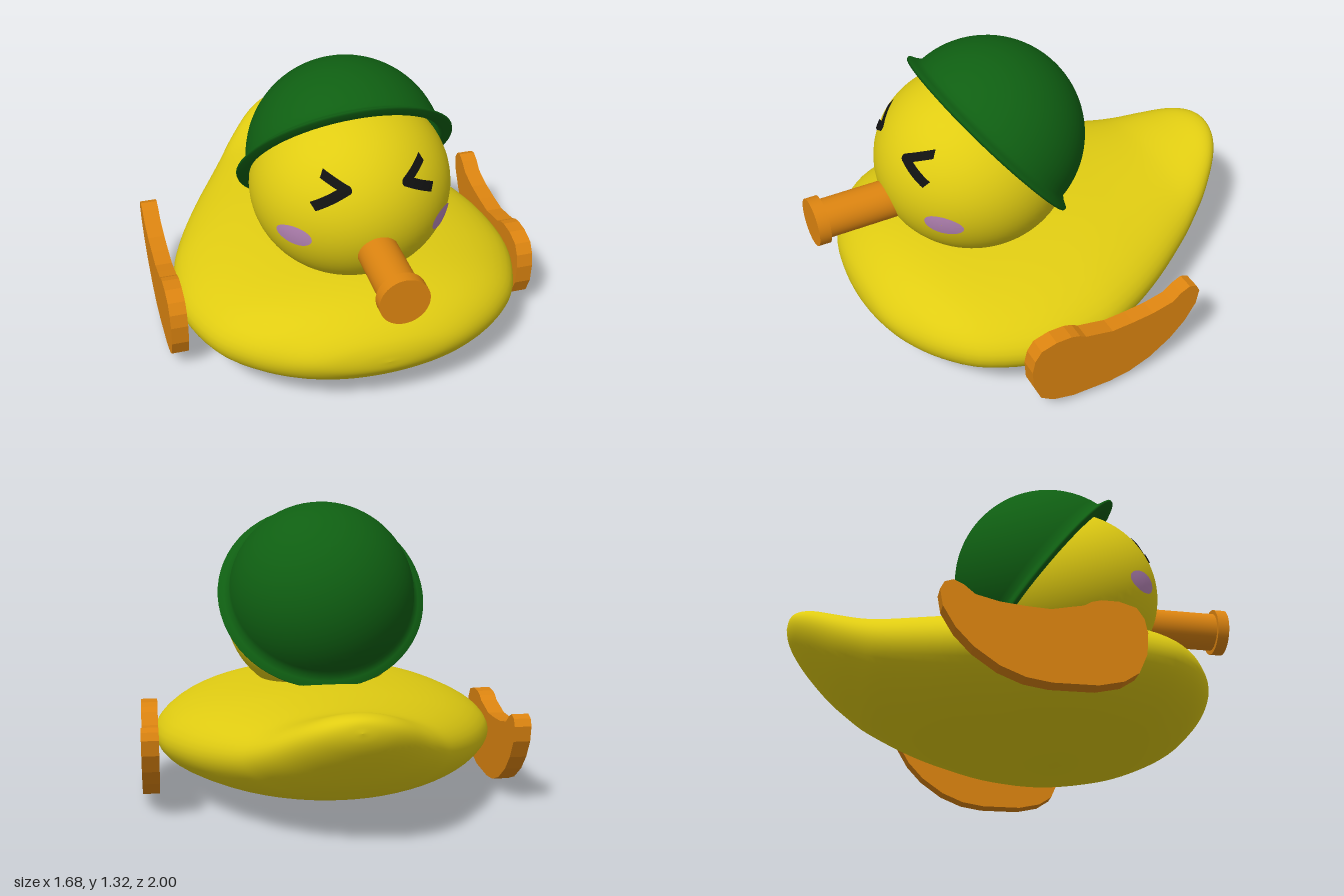
import * as THREE from 'three';

const mat = (name, color, side = THREE.FrontSide) => {
  const m = new THREE.MeshStandardMaterial({ color, side });
  m.name = name;
  return m;
};

// Head ellipsoid: centre and radii
const HEAD = { y: 0.8, z: 0.24, rx: 0.435, ry: 0.4, rz: 0.435 };

// Lay a flat xy geometry onto the front of the head
function wrapOnHead(geo, lift = 1.012) {
  const p = geo.attributes.position;
  for (let i = 0; i < p.count; i++) {
    const x = p.getX(i) / HEAD.rx, y = (p.getY(i) - HEAD.y) / HEAD.ry;
    p.setZ(i, HEAD.z + HEAD.rz * Math.sqrt(Math.max(0, lift * lift - x * x - y * y)));
  }
  geo.computeVertexNormals();
  return geo;
}

// Body: elliptical cross-sections from breast to raised tail
function bodyGeometry() {
  // z, half width, top, bottom
  const stations = [
    [0.845, 0, 0.27, 0.27], [0.837, 0.14, 0.32, 0.225], [0.81, 0.29, 0.37, 0.185],
    [0.75, 0.43, 0.425, 0.125], [0.65, 0.575, 0.475, 0.075], [0.5, 0.695, 0.505, 0.03],
    [0.25, 0.775, 0.52, 0], [0, 0.762, 0.53, 0.01], [-0.2, 0.695, 0.535, 0.04],
    [-0.4, 0.595, 0.535, 0.085], [-0.6, 0.47, 0.538, 0.155], [-0.7, 0.4, 0.55, 0.21],
    [-0.8, 0.325, 0.577, 0.28], [-0.9, 0.23, 0.607, 0.375], [-0.96, 0.15, 0.608, 0.45],
    [-0.99, 0.075, 0.59, 0.505], [-1, 0, 0.55, 0.55],
  ];
  const curve = (f) => new THREE.CatmullRomCurve3(stations.map(f), false, 'catmullrom');
  const plan = curve(([z, w]) => new THREE.Vector3(z, w, 0));
  const side = curve(([, , t, b]) => new THREE.Vector3(t, b, 0));
  const N = 64, M = 56, pos = [], idx = [];
  for (let i = 0; i <= N; i++) {
    const a = plan.getPoint(i / N), b = side.getPoint(i / N);
    const mid = (b.x + b.y) / 2, h = (b.x - b.y) / 2;
    for (let j = 0; j < M; j++) {
      const t = (j / M) * Math.PI * 2;
      pos.push(a.y * Math.cos(t), mid + h * Math.sin(t), a.x);
      if (i < N) {
        const k = (j + 1) % M, r = i * M, s = r + M;
        idx.push(r + j, s + j, r + k, s + j, s + k, r + k);
      }
    }
  }
  const geo = new THREE.BufferGeometry();
  geo.setAttribute('position', new THREE.Float32BufferAttribute(pos, 3));
  geo.setIndex(idx);
  geo.computeVertexNormals();
  return geo;
}

// Helmet: hollow dome with a flared brim
function helmetGeometry() {
  const pts = [], n = 20;
  for (let i = 0; i <= n; i++) {
    const a = (i / n) * Math.PI / 2;
    pts.push(new THREE.Vector2(0.42 * Math.sin(a), 0.42 * Math.cos(a)));
  }
  pts.push(new THREE.Vector2(0.43, -0.008), new THREE.Vector2(0.476, -0.002),
    new THREE.Vector2(0.478, 0.008), new THREE.Vector2(0.45, 0.022));
  for (let i = 0; i <= n; i++) {
    const a = 0.09 + (i / n) * (Math.PI / 2 - 0.09);
    pts.push(new THREE.Vector2(0.43 * Math.cos(a), 0.43 * Math.sin(a)));
  }
  return new THREE.LatheGeometry(pts, 64);
}

// Flipper outline in (z, y)
function flipperGeometry() {
  const outline = [
    [0.382, 0.27], [0.375, 0.18], [0.34, 0.1], [0.28, 0.06], [0.18, 0.037], [0, 0.035],
    [-0.1, 0.05], [-0.2, 0.09], [-0.3, 0.16], [-0.37, 0.235], [-0.42, 0.32], [-0.432, 0.39],
    [-0.415, 0.422], [-0.38, 0.434], [-0.34, 0.415], [-0.295, 0.378], [-0.2, 0.355],
    [-0.1, 0.345], [0, 0.34], [0.07, 0.355], [0.13, 0.367], [0.16, 0.385], [0.2, 0.396],
    [0.27, 0.396], [0.34, 0.375], [0.37, 0.33],
  ];
  const shape = new THREE.Shape(outline.map(([z, y]) => new THREE.Vector2(-z, y)));
  return new THREE.ExtrudeGeometry(shape, { depth: 0.075, bevelEnabled: false }).rotateY(Math.PI / 2);
}

export function createModel() {
  const group = new THREE.Group();
  const yellow = mat('yellow', 0xe0cc12);
  const orange = mat('orange', 0xdc8410);
  const green = mat('green', 0x0f5f12, THREE.DoubleSide);
  const black = mat('black', 0x111111, THREE.DoubleSide);
  const blush = mat('blush', 0xb886b8, THREE.DoubleSide);
  const add = (name, geo, material) => {
    const mesh = new THREE.Mesh(geo, material);
    mesh.name = name;
    group.add(mesh);
    return mesh;
  };

  add('body', bodyGeometry(), yellow);

  const head = add('head', new THREE.SphereGeometry(1, 64, 40), yellow);
  head.scale.set(HEAD.rx, HEAD.ry, HEAD.rz);
  head.position.set(0, HEAD.y, HEAD.z);

  const helmet = add('helmet', helmetGeometry(), green);
  helmet.position.set(0, 0.887, 0.17);
  helmet.rotation.x = -0.9;

  // Tubular beak with a lip
  const tube = (name, r, z0, z1) => {
    const geo = new THREE.CylinderGeometry(r, r, z1 - z0, 48).rotateX(Math.PI / 2);
    add(name, geo, orange).position.set(0, 0.7, (z0 + z1) / 2);
  };
  tube('beak', 0.086, 0.5, 0.96);
  tube('beakLip', 0.105, 0.948, 1);

  // Side flippers
  add('leftFlipper', flipperGeometry(), orange).position.x = 0.765;
  add('rightFlipper', flipperGeometry(), orange).position.x = -0.84;

  // Squinting eyes: two strokes and a rounded tip each
  const stroke = (name, [x0, y0], [x1, y1], width) => {
    const dx = x1 - x0, dy = y1 - y0;
    const geo = new THREE.PlaneGeometry(Math.hypot(dx, dy), width, 12, 3)
      .rotateZ(Math.atan2(dy, dx)).translate((x0 + x1) / 2, (y0 + y1) / 2, 0);
    add(name, wrapOnHead(geo), black);
  };
  const disc = (name, x, y, rx, ry, material) => {
    const geo = new THREE.RingGeometry(0.001, 1, 28, 5).scale(rx, ry, 1).translate(x, y, 0);
    add(name, wrapOnHead(geo), material);
  };
  const eyes = [
    ['left', [0.13, 0.992], [0.222, 1.042], [0.255, 0.925]],
    ['right', [-0.122, 0.994], [-0.205, 1.042], [-0.255, 0.92]],
  ];
  for (const [side, tip, upper, lower] of eyes) {
    stroke(side + 'EyeUpper', tip, upper, 0.036);
    stroke(side + 'EyeLower', tip, lower, 0.036);
    disc(side + 'EyeTip', tip[0], tip[1], 0.02, 0.018, black);
  }

  // Cheeks
  disc('leftCheek', 0.316, 0.74, 0.058, 0.05, blush);
  disc('rightCheek', -0.322, 0.764, 0.058, 0.047, blush);

  return group;
}
